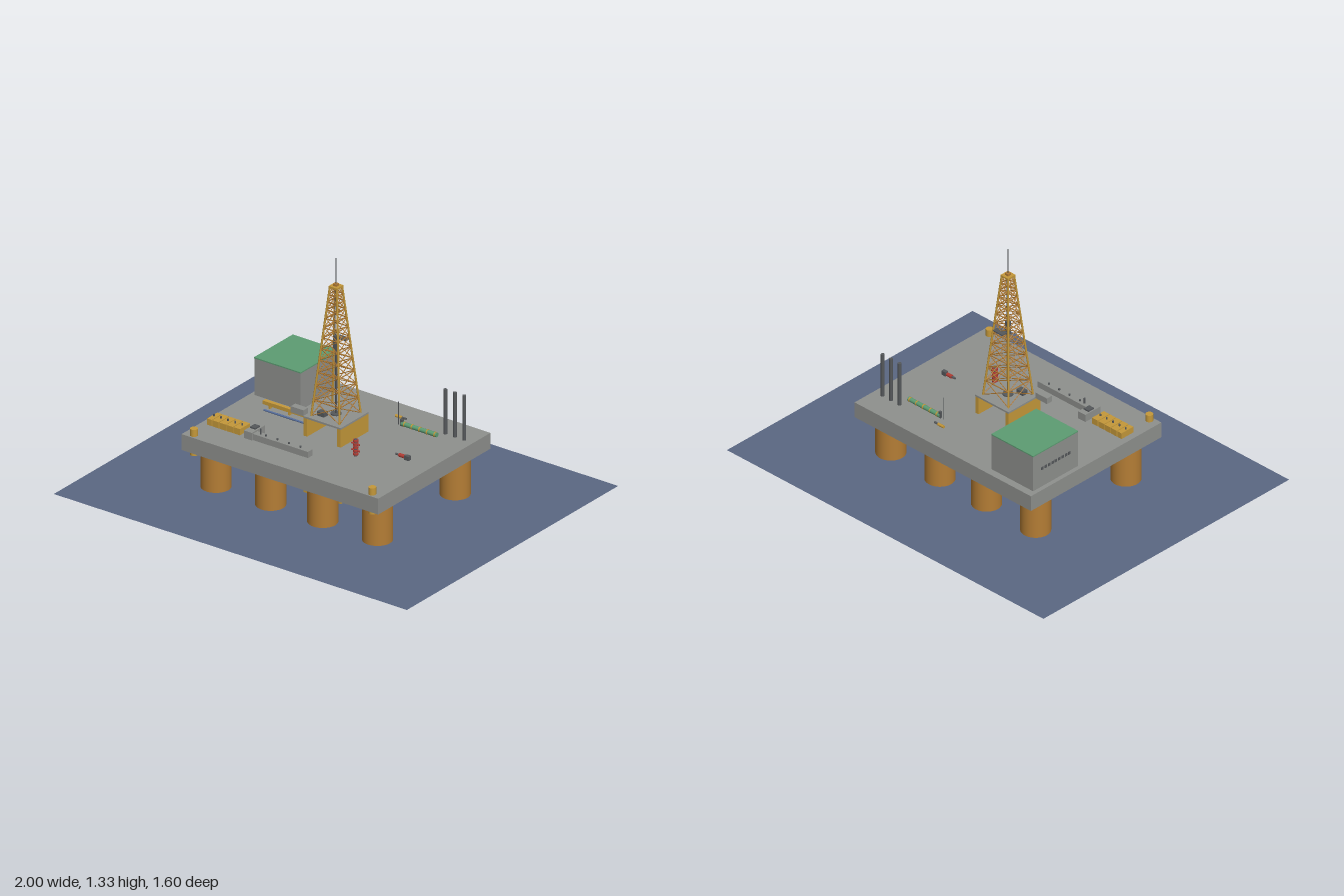
import * as THREE from 'three';

const mat = (name, color) => {
  const m = new THREE.MeshStandardMaterial({ color });
  m.name = name;
  return m;
};

export function createModel() {
  const root = new THREE.Group();
  root.name = 'drillingPlatform';
  const yellow = mat('yellowPaint', 0xc4983a);
  const ochre = mat('ochreSteel', 0xb47d35);
  const grey = mat('deckGrey', 0x8e908d);
  const dark = mat('darkSteel', 0x55585b);
  const green = mat('helideckGreen', 0x5d9c72);
  const red = mat('redValve', 0xb23c34);
  const blue = mat('bluePipe', 0x58709f);
  const water = mat('seaBlue', 0x5b6783);
  water.side = THREE.DoubleSide;

  const add = (name, geo, m, parent = root) => {
    const mesh = new THREE.Mesh(geo, m);
    mesh.name = name;
    parent.add(mesh);
    return mesh;
  };
  const group = (name) => {
    const g = new THREE.Group();
    g.name = name;
    root.add(g);
    return g;
  };
  // box given by its extents
  const box = (name, m, x0, x1, y0, y1, z0, z1, parent) => {
    const b = add(name, new THREE.BoxGeometry(x1 - x0, y1 - y0, z1 - z0), m, parent);
    b.position.set((x0 + x1) / 2, (y0 + y1) / 2, (z0 + z1) / 2);
  };
  const V = (x, y, z) => new THREE.Vector3(x, y, z);
  // round bar between two points
  const bar = (name, m, a, b, r, sides = 12, parent) => {
    const d = b.clone().sub(a);
    const c = add(name, new THREE.CylinderGeometry(r, r, d.length(), sides), m, parent);
    c.position.copy(a).add(b).multiplyScalar(0.5);
    c.quaternion.setFromUnitVectors(V(0, 1, 0), d.normalize());
  };
  const post = (name, m, x, z, y0, y1, r, sides = 12, parent) =>
    bar(name, m, V(x, y0, z), V(x, y1, z), r, sides, parent);

  // sea surface
  const sea = add('seaSurface', new THREE.PlaneGeometry(2, 1.6), water);
  sea.rotation.x = -Math.PI / 2;
  sea.position.y = 0.16;

  // pontoons, columns and cross braces
  for (const s of [1, -1]) {
    const z = s * 0.294;
    box('pontoon', yellow, -0.6, 0.6, 0, 0.12, z - 0.093, z + 0.093);
    for (const x of [-0.46, -0.15, 0.145, 0.455]) post('column', ochre, x, z, 0.12, 0.366, 0.071, 32);
    bar('crossBrace', ochre, V(s * 0.45, 0.135, -0.215), V(s * 0.45, 0.135, 0.215), 0.015);
  }

  // main deck and drill floor supports
  box('mainDeck', grey, -0.557, 0.557, 0.365, 0.445, -0.425, 0.425);
  for (const s of [-1, 1]) {
    const x = s * 0.095;
    box('drillFloorSupport', yellow, x - 0.01, x + 0.01, 0.03, 0.535, -0.105, 0.105);
  }
  box('drillFloor', grey, -0.106, 0.106, 0.535, 0.544, -0.106, 0.106);
  box('driversCabin', grey, -0.18, -0.108, 0.54, 0.57, 0.068, 0.102);
  box('drawworks', dark, -0.06, -0.02, 0.544, 0.565, 0.035, 0.065);
  post('rotaryTable', dark, 0, 0, 0.544, 0.55, 0.025, 16);

  // derrick: four legs with shrinking cross-braced bays
  const derrick = group('derrick');
  const y0 = 0.544, y1 = 1.185, bays = 12, ratio = 0.93;
  const half = (y) => 0.08 + (0.02 - 0.08) * (y - y0) / (y1 - y0);
  const corner = (i, y) => {
    const w = half(y);
    return V([w, w, -w, -w][i % 4], y, [w, -w, -w, w][i % 4]);
  };
  const level = (k) => y0 + (y1 - y0) * (1 - ratio ** k) / (1 - ratio ** bays);
  for (let i = 0; i < 4; i++) {
    bar('derrickLeg', yellow, corner(i, y0), corner(i, y1), 0.005, 6, derrick);
    for (let k = 0; k < bays; k++) {
      const a = level(k), b = level(k + 1);
      bar('derrickGirt', ochre, corner(i, b), corner(i + 1, b), 0.0028, 5, derrick);
      bar('derrickBrace', ochre, corner(i, a), corner(i + 1, b), 0.0022, 5, derrick);
      bar('derrickBrace', ochre, corner(i + 1, a), corner(i, b), 0.0022, 5, derrick);
    }
  }
  box('crownPlatform', yellow, -0.024, 0.024, 1.183, 1.192, -0.024, 0.024, derrick);
  box('crownBlock', ochre, -0.01, 0.01, 1.192, 1.203, -0.01, 0.01, derrick);
  post('lightningMast', dark, 0, 0, 1.2, 1.33, 0.0015, 6, derrick);
  post('drillString', dark, 0, 0, 0.544, 0.87, 0.004, 8, derrick);
  box('travellingBlock', dark, -0.009, 0.009, 0.87, 0.94, -0.009, 0.009, derrick);
  for (const x of [-0.006, 0.006]) post('hoistCable', dark, x, 0, 0.94, 1.185, 0.0015, 5, derrick);
  box('pipeRackingBoard', dark, -0.03, 0.03, 0.905, 0.91, -0.068, -0.035, derrick);

  // accommodation block with green roof and a row of windows
  const quarters = group('accommodation');
  box('quartersWalls', grey, -0.535, -0.273, 0.445, 0.63, -0.388, -0.097, quarters);
  box('quartersRoof', green, -0.536, -0.272, 0.63, 0.636, -0.389, -0.096, quarters);
  for (let i = 0; i < 9; i++) {
    const z = -0.335 + i * 0.022;
    box('quartersWindow', dark, -0.537, -0.534, 0.535, 0.55, z, z + 0.014, quarters);
  }

  // pipe catwalk and drill pipes
  box('catwalk', yellow, -0.43, -0.105, 0.46, 0.478, -0.04, -0.02);
  for (const x of [-0.4, -0.29, -0.18]) box('catwalkLeg', yellow, x, x + 0.01, 0.445, 0.46, -0.037, -0.023);
  for (const z of [-0.075, 0.01])
    bar('drillPipe', blue, V(-0.4, 0.451, z), V(-0.14, 0.451, z), 0.005, 8);

  // mud tanks and shaker line
  const tanks = group('mudTanks');
  for (let i = 0; i < 5; i++) {
    const x = -0.533 + i * 0.04;
    const w = i === 0 ? 0.026 : 0.036;
    box('mudTank', yellow, x + 0.036 - w, x + 0.036, 0.445, 0.476, 0.2, 0.277, tanks);
    post('tankAgitator', dark, x + 0.02, 0.238, 0.476, 0.486, 0.004, 8, tanks);
  }
  box('shakerHouse', grey, -0.307, -0.262, 0.445, 0.483, 0.187, 0.287, tanks);
  box('mudPump', dark, -0.3, -0.27, 0.483, 0.49, 0.215, 0.25, tanks);
  box('longTank', grey, -0.262, 0.05, 0.445, 0.476, 0.244, 0.28, tanks);
  for (let i = 0; i < 4; i++) post('tankHatch', dark, -0.2 + i * 0.065, 0.262, 0.476, 0.483, 0.005, 8, tanks);
  post('ventPipe', dark, -0.23, 0.262, 0.476, 0.505, 0.004, 8, tanks);

  // front corner posts
  for (const x of [-0.505, 0.505]) post('cornerPost', yellow, x, 0.4, 0.348, 0.48, 0.018, 20);

  // exhaust stacks
  for (const x of [0.398, 0.452, 0.505]) post('exhaustStack', dark, x, -0.296, 0.445, 0.67, 0.009, 16);

  // green test separator with bands and mast
  const separator = group('separator');
  bar('separatorVessel', green, V(0.19, 0.456, -0.244), V(0.39, 0.456, -0.244), 0.011, 14, separator);
  for (let i = 0; i < 5; i++) {
    const x = 0.205 + i * 0.043;
    bar('separatorBand', yellow, V(x, 0.456, -0.244), V(x + 0.006, 0.456, -0.244), 0.0125, 14, separator);
  }
  post('separatorMast', dark, 0.172, -0.244, 0.445, 0.56, 0.002, 6, separator);
  box('separatorValve', dark, 0.185, 0.197, 0.445, 0.478, -0.25, -0.238, separator);

  // small pump beside the separator
  bar('pumpBody', yellow, V(0.115, 0.453, -0.298), V(0.152, 0.453, -0.298), 0.007, 10);
  bar('pumpMotor', dark, V(0.152, 0.453, -0.298), V(0.175, 0.453, -0.298), 0.005, 10);

  // red blowout preventer stack
  const stack = group('blowoutPreventer');
  post('preventerCore', dark, 0.21, 0.132, 0.445, 0.53, 0.008, 12, stack);
  for (let i = 0; i < 5; i++) {
    const y = 0.452 + i * 0.0165;
    post('preventerRing', red, 0.21, 0.132, y, y + 0.01, 0.013, 14, stack);
    if (i % 2) bar('preventerRam', red, V(0.187, y + 0.005, 0.132), V(0.233, y + 0.005, 0.132), 0.004, 8, stack);
  }

  // red choke valve line
  bar('chokeLine', dark, V(0.355, 0.456, 0.022), V(0.435, 0.456, 0.022), 0.005, 10);
  bar('chokeValve', red, V(0.375, 0.456, 0.022), V(0.405, 0.456, 0.022), 0.009, 12);
  box('chokeSkid', dark, 0.41, 0.435, 0.445, 0.466, 0.014, 0.032);

  return root;
}
